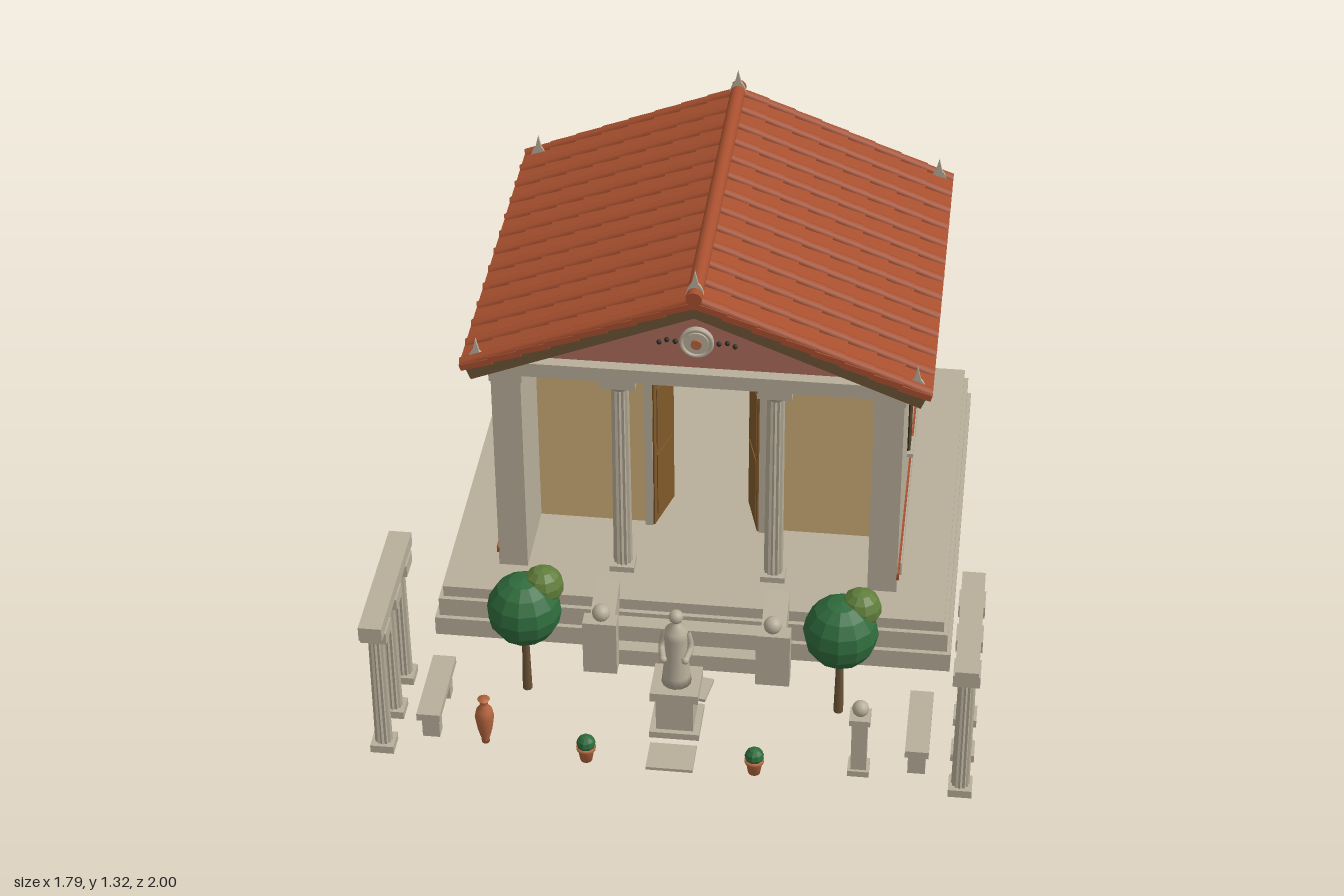
import * as THREE from 'three';

const mat = (name, color, extra = {}) => {
  const m = new THREE.MeshStandardMaterial({ color, ...extra });
  m.name = name;
  return m;
};

export function createModel() {
  const stone = mat('stone', 0xb8ae9a), tile = mat('roofTile', 0xa8502f);
  const eave = mat('eaveWood', 0x6b5236), plaster = mat('ochrePlaster', 0xcdae78);
  const pink = mat('pinkPlaster', 0xad6c5c), leaf = mat('darkLeaf', 0x2f6b3c, { flatShading: true });
  const lightLeaf = mat('lightLeaf', 0x5f7d3a, { flatShading: true });
  const dark = mat('darkOpening', 0x2c2c24), wood = mat('doorWood', 0x80592a), clay = mat('clay', 0xb5663f);

  const root = new THREE.Group();
  const group = (name, x = 0, y = 0, z = 0, parent = root) => {
    const g = new THREE.Group();
    g.name = name;
    g.position.set(x, y, z);
    parent.add(g);
    return g;
  };
  const add = (name, geo, m, x, y, z, parent = root) => {
    const mesh = new THREE.Mesh(geo, m);
    mesh.name = name;
    mesh.position.set(x, y, z);
    parent.add(mesh);
    return mesh;
  };
  // Box given by its minimum and maximum corners
  const box = (name, m, x0, x1, y0, y1, z0, z1, parent = root) =>
    add(name, new THREE.BoxGeometry(x1 - x0, y1 - y0, z1 - z0), m, (x0 + x1) / 2, (y0 + y1) / 2, (z0 + z1) / 2, parent);
  const ball = (name, m, r, x, y, z, parent = root, w = 12, h = 8) =>
    add(name, new THREE.SphereGeometry(r, w, h), m, x, y, z, parent);
  const lathe = (name, m, pts, x, y, z, parent = root) =>
    add(name, new THREE.LatheGeometry(pts.map(p => new THREE.Vector2(...p)), 14), m, x, y, z, parent);
  // Fluted shaft: every other edge of the cylinder is pulled in
  const fluted = (name, r, y0, y1, x, z, parent = root) => {
    const geo = new THREE.CylinderGeometry(r * 0.9, r, y1 - y0, 24).toNonIndexed();
    const p = geo.attributes.position;
    for (let i = 0; i < p.count; i++) {
      const k = Math.round(Math.atan2(p.getX(i), p.getZ(i)) / (Math.PI / 12));
      if (k % 2) p.setXYZ(i, p.getX(i) * 0.84, p.getY(i), p.getZ(i) * 0.84);
    }
    geo.computeVertexNormals();
    return add(name, geo, stone, x, (y0 + y1) / 2, z, parent);
  };

  // Stepped platform
  [[0.8, 0, 0.065, 0.4], [0.788, 0.065, 0.13, 0.385], [0.775, 0.13, 0.168, 0.37]].forEach(([w, y0, y1, z1], i) =>
    box('platformStep' + i, stone, -w, w, y0, y1, -0.6 - w * 0.5, z1));

  // Entrance stairs with sloping cheeks, piers and balls
  box('lowerStair', stone, -0.225, 0.225, 0, 0.057, 0.36, 0.48);
  box('upperStair', stone, -0.225, 0.225, 0.057, 0.115, 0.36, 0.435);
  for (const s of [-1, 1]) {
    const side = new THREE.Shape([[-0.35, 0], [-0.35, 0.23], [-0.48, 0.175], [-0.48, 0]].map(p => new THREE.Vector2(...p)));
    const cheek = add('stairCheek', new THREE.ExtrudeGeometry(side, { depth: 0.075, bevelEnabled: false }), stone, s * 0.262 - 0.0375, 0, 0);
    cheek.rotation.y = Math.PI / 2;
    box('stairPier', stone, s * 0.265 - 0.052, s * 0.265 + 0.052, 0, 0.19, 0.475, 0.527);
    ball('pierBall', stone, 0.028, s * 0.262, 0.217, 0.502);
  }

  // Cella walls, ceiling and painted bands
  for (const s of [-1, 1]) {
    box('sideWall', stone, s * 0.575 - 0.045, s * 0.575 + 0.045, 0.165, 0.905, -0.905, 0.24);
    box('wallPlinth', stone, s * 0.59 - 0.04, s * 0.59 + 0.04, 0.165, 0.215, -0.912, 0.155);
    for (const [y, h] of [[0.215, 0.022], [0.882, 0.023]])
      box('sideBand', tile, s * 0.622 - 0.004, s * 0.622 + 0.004, y, y + h, -0.909, 0.24);
    box('innerLining', dark, s * 0.527 - 0.003, s * 0.527 + 0.003, 0.168, 0.9, -0.86, -0.07);
    box('antaCapital', stone, s * 0.575 - 0.05, s * 0.575 + 0.05, 0.87, 0.905, 0.14, 0.247);
  }
  box('backWall', stone, -0.53, 0.53, 0.165, 0.905, -0.905, -0.86);
  for (const [y, h] of [[0.215, 0.022], [0.882, 0.023]])
    box('backBand', tile, -0.625, 0.625, y, y + h, -0.91, -0.903);
  box('entablature', stone, -0.622, 0.622, 0.905, 0.942, -0.907, 0.24);
  box('frontCornice', stone, -0.64, 0.64, 0.898, 0.945, 0.15, 0.252);

  // Ochre front wall with the doorway
  const wall = new THREE.Shape([[-0.53, 0.165], [0.53, 0.165], [0.53, 0.905], [-0.53, 0.905]].map(p => new THREE.Vector2(...p)));
  wall.holes.push(new THREE.Path([[-0.17, 0.166], [-0.17, 0.725], [0.17, 0.725], [0.17, 0.166]].map(p => new THREE.Vector2(...p))));
  add('frontWall', new THREE.ExtrudeGeometry(wall, { depth: 0.03, bevelEnabled: false }), plaster, 0, 0, -0.06);
  box('doorLintel', stone, -0.19, 0.19, 0.72, 0.755, -0.065, -0.005);
  box('doorCornice', stone, -0.205, 0.205, 0.752, 0.782, -0.065, 0.01);
  for (const s of [-1, 1]) {
    box('doorJamb', stone, s * 0.18 - 0.013, s * 0.18 + 0.013, 0.165, 0.725, -0.065, -0.01);
    const door = group('openDoor', s * 0.168, 0.17, -0.015);
    door.rotation.y = -s * 1.3;
    const leafX = -s * 0.08;
    box('doorLeaf', wood, leafX - 0.08, leafX + 0.08, 0, 0.54, -0.006, 0.006, door);
    for (const y of [0.03, 0.28])
      box('doorPanel', wood, leafX - 0.06, leafX + 0.06, y, y + 0.23, -0.009, 0.009, door);
  }

  // Shelves and jars inside
  for (const y of [0.19, 0.29, 0.4, 0.5, 0.61]) {
    box('shelfBoard', tile, -0.3, 0.3, y, y + 0.01, -0.86, -0.77);
    for (let i = 0; i < 7; i++)
      lathe('shelfJar', i % 2 ? stone : clay, [[0, 0], [0.012, 0], [0.02, 0.022], [0.011, 0.04], [0.014, 0.046], [0, 0.046]], -0.255 + i * 0.085, y + 0.01, -0.81);
  }
  for (let i = 0; i < 8; i++) box('shelfPost', clay, -0.303 + i * 0.085, -0.295 + i * 0.085, 0.168, 0.72, -0.86, -0.78);

  // Porch columns
  for (const x of [-0.235, 0.235]) {
    box('columnBase', stone, x - 0.038, x + 0.038, 0.168, 0.188, 0.162, 0.238);
    fluted('porchColumn', 0.03, 0.188, 0.85, x, 0.2);
    add('columnEchinus', new THREE.CylinderGeometry(0.042, 0.027, 0.025, 20), stone, x, 0.858, 0.2);
    box('columnCapital', stone, x - 0.052, x + 0.052, 0.87, 0.9, 0.15, 0.25);
  }

  // Barred windows, facing +z in their own group
  const barredWindow = (x, z, turn) => {
    const g = group('barredWindow', x, 0, z);
    g.rotation.y = turn;
    box('windowOpening', dark, -0.034, 0.034, 0.42, 0.77, -0.002, 0.004, g);
    for (const b of [-0.026, 0, 0.026]) box('windowBar', eave, b - 0.004, b + 0.004, 0.42, 0.77, 0, 0.01, g);
    box('windowLintel', tile, -0.046, 0.046, 0.768, 0.786, -0.002, 0.012, g);
    box('windowSill', stone, -0.048, 0.048, 0.408, 0.421, -0.002, 0.02, g);
  };
  for (const s of [-1, 1]) {
    for (const z of [-0.187, -0.475, -0.765]) barredWindow(s * 0.62, z, s * Math.PI / 2);
    barredWindow(s * 0.31, -0.905, Math.PI);
    box('backDash', tile, s * 0.52 - 0.05, s * 0.52 + 0.05, 0.762, 0.778, -0.91, -0.903);
  }

  // Pediments and medallion
  const gable = new THREE.Shape([[-0.58, 0.94], [0.58, 0.94], [0, 1.175]].map(p => new THREE.Vector2(...p)));
  add('pediment', new THREE.ExtrudeGeometry(gable, { depth: 1.115, bevelEnabled: false }), pink, 0, 0, -0.9);
  const medal = group('medallion', 0, 1.043, 0.217);
  [[0.05, 0.012, stone], [0.036, 0.018, stone], [0.016, 0.026, clay]].forEach(([r, d, m]) => {
    add('medallionDisc', new THREE.CylinderGeometry(r, r, d, 28), m, 0, 0, d / 2, medal).rotation.x = Math.PI / 2;
  });
  add('medallionRim', new THREE.TorusGeometry(0.046, 0.006, 8, 28), stone, 0, 0, 0.012, medal);
  for (const s of [-1, 1])
    [[0.065, -0.006], [0.09, -0.002], [0.113, -0.012]].forEach(([x, y]) => ball('pedimentBead', dark, 0.008, s * x, y, 0.002, medal, 8, 6));

  // Tiled roof: each half runs down its own local x axis
  const roof = group('roof', 0, 0, -0.3275);
  const pitch = Math.atan(0.4), len = 0.69 / Math.cos(pitch);
  for (const turn of [0, Math.PI]) {
    const half = group('roofHalf', 0, 0, 0, roof);
    half.rotation.y = turn;
    const slope = group('roofSlope', 0, 1.21, 0, half);
    slope.rotation.z = -pitch;
    box('roofDeck', eave, -0.005, len - 0.008, -0.036, 0.002, -0.62, 0.62, slope);
    const rows = 8, w = len / rows;
    for (let i = 0; i < rows; i++) {
      const course = box('tileCourse', tile, -w / 2 - 0.005, w / 2 + 0.004, -0.01, 0.01, -0.627, 0.627, slope);
      course.position.set((i + 0.5) * w, 0.011, 0);
      course.rotation.z = 0.07;
    }
    for (let i = 0; i < 13; i++) {
      const z = -0.608 + i * 0.1013;
      for (let j = 0; j < rows; j++) {
        const cover = add('coverTile', new THREE.CylinderGeometry(0.015, 0.018, w, 8), tile, (j + 0.5) * w, 0.02, z, slope);
        cover.rotation.z = Math.PI / 2;
      }
    }
  }
  add('ridgeTile', new THREE.CylinderGeometry(0.024, 0.024, 1.256, 12), tile, 0, 1.24, 0, roof).rotation.x = Math.PI / 2;

  // Leaf-shaped finials on the gable ends
  const finial = new THREE.Shape();
  finial.moveTo(-0.026, 0);
  finial.quadraticCurveTo(-0.022, 0.025, -0.01, 0.035);
  finial.lineTo(0, 0.078);
  finial.lineTo(0.01, 0.035);
  finial.quadraticCurveTo(0.022, 0.025, 0.026, 0);
  const finialGeo = new THREE.ExtrudeGeometry(finial, { depth: 0.01, bevelEnabled: false });
  for (const z of [0.26, -0.925])
    for (const [x, y] of [[0, 1.24], [-0.655, 0.955], [0.655, 0.955]]) add('finial', finialGeo, stone, x, y, z);

  // Garden colonnades and benches
  for (const s of [-1, 1]) {
    const c = group('colonnade', s * 0.857);
    box('colonnadeBeam', stone, -0.034, 0.034, 0.46, 0.505, 0.54, 1, c);
    for (const z of [0.615, 0.773, 0.93]) {
      box('postBase', stone, -0.035, 0.035, 0, 0.026, z - 0.035, z + 0.035, c);
      fluted('post', 0.027, 0.026, 0.425, 0, z, c);
      box('postCapital', stone, -0.039, 0.039, 0.425, 0.465, z - 0.039, z + 0.039, c);
    }
    const b = group('bench', s * 0.725);
    box('benchSeat', stone, -0.035, 0.035, 0.086, 0.11, 0.63, 0.905, b);
    for (const z of [0.68, 0.855]) box('benchLeg', stone, -0.026, 0.026, 0, 0.086, z - 0.02, z + 0.02, b);
  }

  // Trees and potted shrubs
  for (const s of [-1, 1]) {
    const t = group('tree', s * 0.475, 0, 0.62);
    add('trunk', new THREE.CylinderGeometry(0.01, 0.015, 0.24, 8), eave, 0, 0.12, 0, t);
    ball('mainCrown', leaf, 0.113, 0, 0.31, 0, t, 12, 8);
    ball('smallCrown', lightLeaf, 0.063, 0.055, 0.383, -0.027, t, 10, 7);
    const p = group('pottedShrub', s * 0.25, 0, 0.922);
    lathe('pot', clay, [[0, 0], [0.018, 0], [0.025, 0.042], [0.029, 0.042], [0.029, 0.053], [0, 0.053]], 0, 0, 0, p);
    ball('shrub', leaf, 0.029, 0, 0.062, 0, p, 9, 6);
  }

  // Tall jar
  lathe('tallJar', clay, [[0, 0], [0.012, 0], [0.012, 0.012], [0.022, 0.05], [0.029, 0.1], [0.024, 0.125], [0.012, 0.142], [0.012, 0.155], [0.019, 0.165], [0, 0.165]], -0.56, 0, 0.877);

  // Bust on a post
  const bust = group('bust', 0.555, 0, 0.877);
  box('bustFoot', stone, -0.032, 0.032, 0, 0.02, -0.032, 0.032, bust);
  box('bustPost', stone, -0.023, 0.023, 0.02, 0.195, -0.023, 0.023, bust);
  box('bustCap', stone, -0.031, 0.031, 0.195, 0.214, -0.031, 0.031, bust);
  ball('bustHead', stone, 0.025, 0, 0.238, 0, bust);

  // Robed statue on a pedestal, and paving slabs
  const st = group('statue', -0.003, 0, 0.733);
  box('pedestalFoot', stone, -0.075, 0.075, 0, 0.022, -0.072, 0.072, st);
  box('pedestal', stone, -0.056, 0.056, 0.022, 0.14, -0.056, 0.056, st);
  box('pedestalCap', stone, -0.072, 0.072, 0.14, 0.17, -0.07, 0.07, st);
  lathe('robe', stone, [[0, 0.17], [0.045, 0.17], [0.042, 0.2], [0.033, 0.28], [0.036, 0.34], [0.034, 0.365], [0.013, 0.385], [0.01, 0.4]], 0, 0, 0, st);
  ball('head', stone, 0.022, 0, 0.413, 0, st);
  for (const s of [-1, 1]) {
    const arm = new THREE.CatmullRomCurve3([[0.033, 0.36, 0], [0.043, 0.305, 0.005], [0.033, 0.29, 0.05]].map(([x, y, z]) => new THREE.Vector3(s * x, y, z)));
    add('arm', new THREE.TubeGeometry(arm, 8, 0.01, 7), stone, 0, 0, 0, st);
    ball('hand', stone, 0.012, s * 0.033, 0.29, 0.05, st, 8, 6);
  }
  box('frontSlab', stone, -0.07, 0.07, 0, 0.01, 0.838, 0.948);
  const slab = box('turnedSlab', stone, -0.08, 0.08, 0, 0.01, 0.515, 0.615);
  slab.rotation.y = -0.17;
  return root;
}
